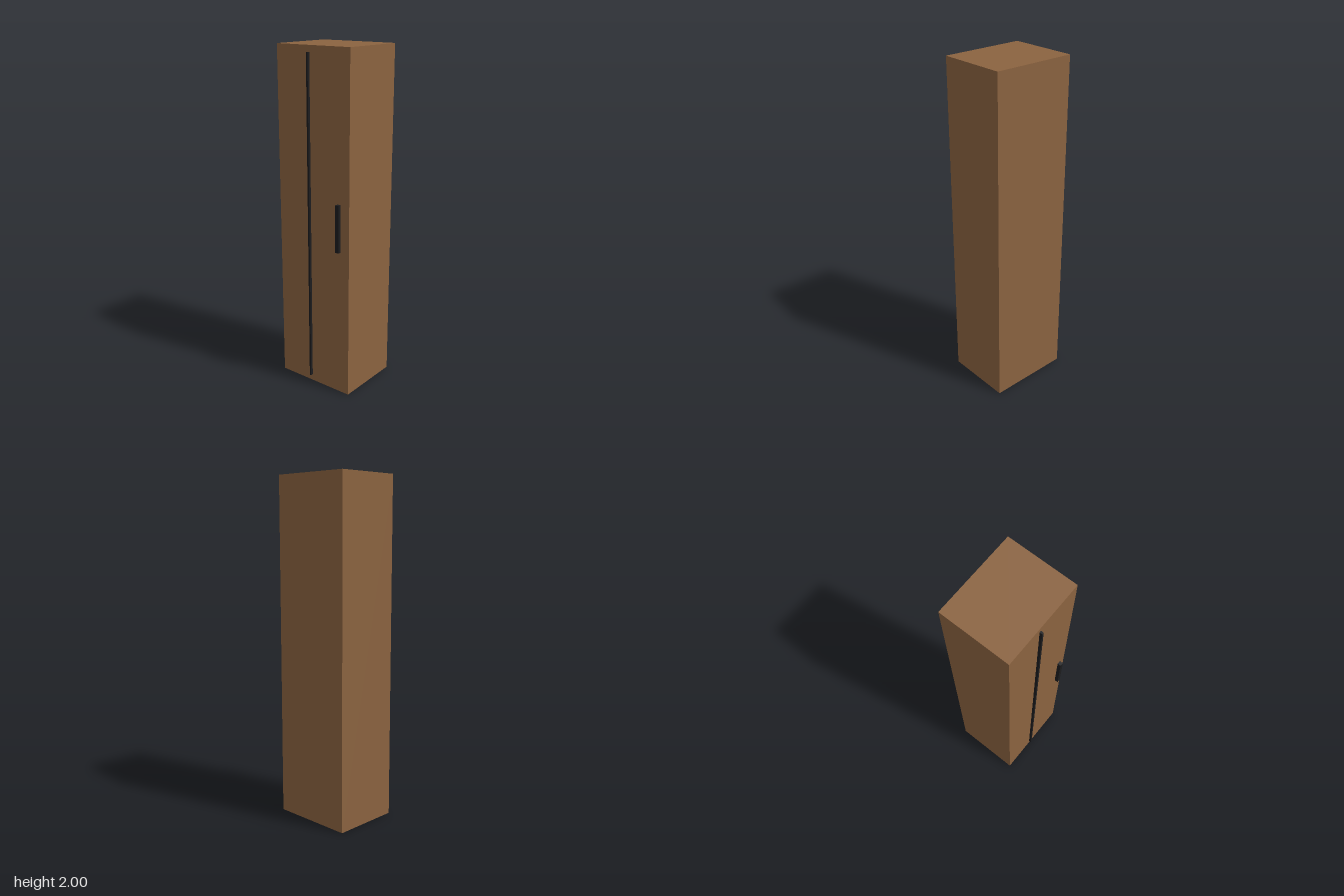
import * as THREE from 'three';

export function createModel() {
  const group = new THREE.Group();
  group.name = 'cabinet';
  const wood = new THREE.MeshStandardMaterial({ color: 0x8b6340 });
  const black = new THREE.MeshStandardMaterial({ color: 0x1c1c1e });

  // Box given by its minimum and maximum corners
  function addBox(name, min, max, material) {
    const size = max.map((v, i) => v - min[i]);
    const mesh = new THREE.Mesh(new THREE.BoxGeometry(...size), material);
    mesh.position.set(...max.map((v, i) => (v + min[i]) / 2));
    mesh.name = name;
    group.add(mesh);
  }

  // Tall closed body
  addBox('cabinetBody', [-0.25, 0, -0.219], [0.25, 2, 0.189], wood);
  // Thin vertical strip on the front, set off centre
  addBox('doorStrip', [-0.031, 0.038, 0.187], [-0.02, 1.963, 0.204], black);
  // Upright bar handle, standing just clear of the door
  addBox('doorHandle', [0.176, 0.888, 0.197], [0.198, 1.163, 0.218], black);

  return group;
}
